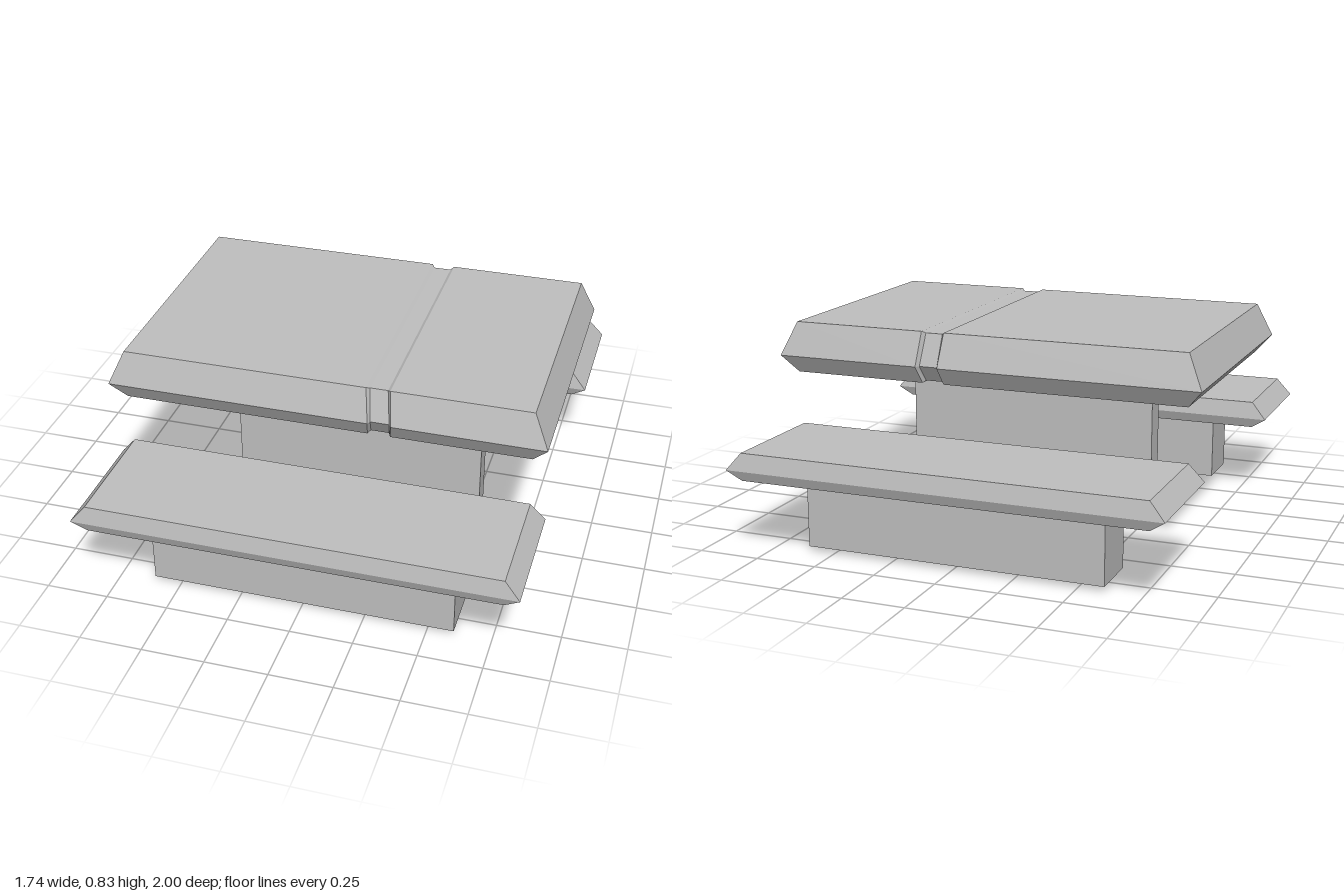
import * as THREE from 'three';

const stone = new THREE.MeshStandardMaterial({ color: 0xbfbfbf });
stone.name = 'grey stone';

// Bevelled slab: six-sided sections joined along x.
// Each section gives [x, y, half depth] for its top edge, widest edge and bottom edge.
function slabGeometry(sections) {
  const rings = sections.map(([t, m, b]) => [
    [t[0], t[1], -t[2]], [t[0], t[1], t[2]], [m[0], m[1], m[2]],
    [b[0], b[1], b[2]], [b[0], b[1], -b[2]], [m[0], m[1], -m[2]],
  ]);
  const pos = [];
  const quad = (a, b, c, d) => pos.push(...a, ...b, ...c, ...a, ...c, ...d);
  for (let i = 0; i < rings.length - 1; i++) {
    const r = rings[i], s = rings[i + 1];
    for (let j = 0; j < 6; j++) {
      const k = (j + 1) % 6;
      quad(r[j], r[k], s[k], s[j]);
    }
  }
  // Bevelled end faces
  const f = rings[0], e = rings[rings.length - 1];
  quad(f[5], f[2], f[1], f[0]);
  quad(f[4], f[3], f[2], f[5]);
  quad(e[0], e[1], e[2], e[5]);
  quad(e[5], e[2], e[3], e[4]);
  const g = new THREE.BufferGeometry();
  g.setAttribute('position', new THREE.Float32BufferAttribute(pos, 3));
  g.computeVertexNormals();
  return g;
}

function addMesh(parent, name, geometry, x, y, z) {
  const mesh = new THREE.Mesh(geometry, stone);
  mesh.name = name;
  mesh.position.set(x, y, z);
  parent.add(mesh);
}

export function createModel() {
  const model = new THREE.Group();
  model.name = 'picnicTable';

  // Table top, with a shallow groove running round it
  const full = (t, m, b) => [[t, 0.835, 0.528], [m, 0.7, 0.565], [b, 0.63, 0.525]];
  const inset = (t, m, b) => [[t, 0.827, 0.513], [m, 0.7, 0.549], [b, 0.637, 0.51]];
  addMesh(model, 'tableTop', slabGeometry([
    full(-0.81, -0.87, -0.81),
    full(0.168, 0.183, 0.173),
    inset(0.18, 0.19, 0.183),
    inset(0.25, 0.264, 0.254),
    full(0.262, 0.275, 0.262),
    full(0.81, 0.87, 0.81),
  ]), 0, 0, 0);

  // Central pedestal
  addMesh(model, 'pedestal', new THREE.BoxGeometry(1.055, 0.635, 0.09), 0, 0.3175, 0);

  // Benches front and back
  const bench = (x, w) => [[x, 0.41, 0.242], [w, 0.34, 0.256], [x, 0.3, 0.24]];
  const seat = slabGeometry([bench(-0.81, -0.87), bench(0.81, 0.87)]);
  const base = new THREE.BoxGeometry(1.21, 0.285, 0.215);
  for (const [side, name] of [[1, 'front'], [-1, 'back']]) {
    addMesh(model, name + 'BenchSeat', seat, 0, 0, side * 0.744);
    addMesh(model, name + 'BenchBase', base, 0, 0.1625, side * 0.744);
  }
  return model;
}
